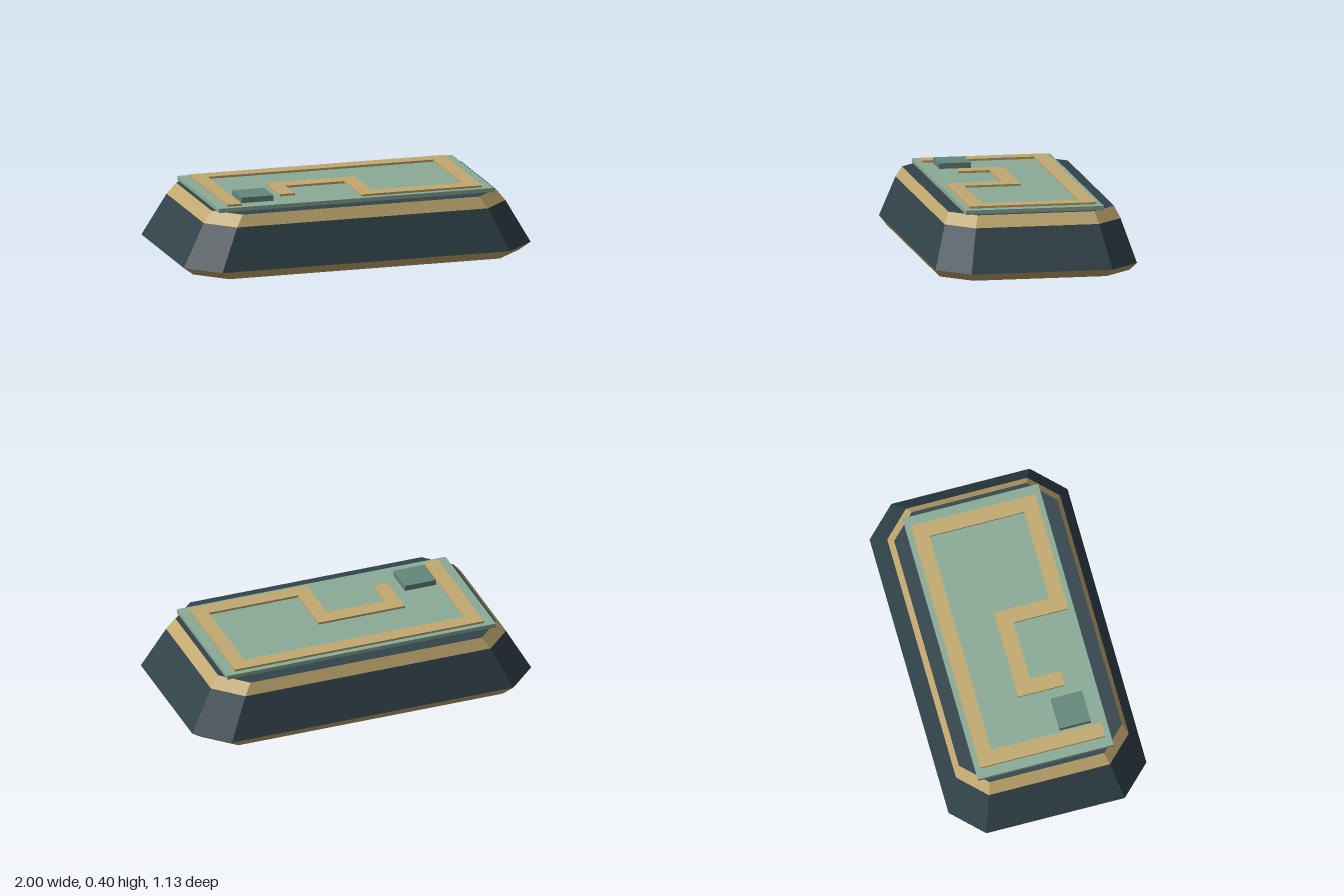
import * as THREE from 'three';

const mat = (name, color) => {
  const m = new THREE.MeshStandardMaterial({ color });
  m.name = name;
  return m;
};

// Octagon (rectangle with cut corners): half sizes x, z and where the cuts begin cx, cz
const ring = ({ x, z, cx, cz, y }) =>
  [[x, -cz], [x, cz], [cx, z], [-cx, z], [-x, cz], [-x, -cz], [-cx, -z], [cx, -z]]
    .map(([px, pz]) => [px, y, pz]);

// Walls between two rings, with optional end caps
function loft(lower, upper, capBottom, capTop) {
  const a = ring(lower), b = ring(upper), pos = [];
  const tri = (...pts) => pts.forEach(p => pos.push(...p));
  for (let i = 0; i < 8; i++) {
    const j = (i + 1) % 8;
    tri(a[i], b[i], a[j]);
    tri(a[j], b[i], b[j]);
    if (capBottom && i > 0 && i < 7) tri(a[0], a[i], a[i + 1]);
    if (capTop && i > 0 && i < 7) tri(b[0], b[i + 1], b[i]);
  }
  const g = new THREE.BufferGeometry();
  g.setAttribute('position', new THREE.Float32BufferAttribute(pos, 3));
  g.computeVertexNormals();
  return g;
}

// Flat cap alone, facing up
function cap(level) {
  const s = new THREE.Shape(ring(level).map(([x, , z]) => new THREE.Vector2(x, -z)));
  return new THREE.ShapeGeometry(s).rotateX(-Math.PI / 2).translate(0, level.y, 0);
}

export function createModel() {
  const group = new THREE.Group();
  const slate = mat('darkSlate', 0x31434a);
  const brass = mat('brass', 0xc2a970);
  const sage = mat('sageGreen', 0x8aab97);
  const teal = mat('mutedTeal', 0x64877b);

  const add = (name, geo, material) => {
    const m = new THREE.Mesh(geo, material);
    m.name = name;
    group.add(m);
  };
  const box = (name, x0, x1, y0, y1, z0, z1, material) =>
    add(name, new THREE.BoxGeometry(x1 - x0, y1 - y0, z1 - z0)
      .translate((x0 + x1) / 2, (y0 + y1) / 2, (z0 + z1) / 2), material);

  // Tapered octagonal body
  const foot = { x: 0.94, z: 0.532, cx: 0.78, cz: 0.372, y: 0 };
  const widest = { x: 1.0, z: 0.565, cx: 0.83, cz: 0.395, y: 0.046 };
  const shoulder = { x: 0.87, z: 0.493, cx: 0.723, cz: 0.346, y: 0.28 };
  const rim = { x: 0.82, z: 0.465, cx: 0.682, cz: 0.327, y: 0.343 };
  add('baseTrim', loft(foot, widest, true, false), brass);
  add('body', loft(widest, shoulder, false, false), slate);
  add('upperTrim', loft(shoulder, rim, false, false), brass);
  add('topDeck', cap(rim), slate);

  // Board overhanging the cut corners
  box('board', -0.795, 0.79, 0.341, 0.365, -0.387, 0.387, sage);

  // Raised winding track: one outline, x and z
  const outline = [
    [-0.737, 0.355], [-0.737, -0.357], [0.733, -0.357], [0.733, 0.355],
    [0.037, 0.355], [0.037, 0.043], [-0.305, 0.043], [-0.305, 0.218],
    [-0.39, 0.218], [-0.39, -0.048], [0.122, -0.048], [0.122, 0.268],
    [0.647, 0.268], [0.647, -0.272], [-0.652, -0.272], [-0.652, 0.355],
  ];
  const path = new THREE.Shape(outline.map(([x, z]) => new THREE.Vector2(x, -z)));
  add('track', new THREE.ExtrudeGeometry(path, { depth: 0.014, bevelEnabled: false })
    .rotateX(-Math.PI / 2).translate(0, 0.363, 0), brass);

  // Square block beside the track
  box('block', -0.637, -0.453, 0.36, 0.396, 0.122, 0.3, teal);

  return group;
}
